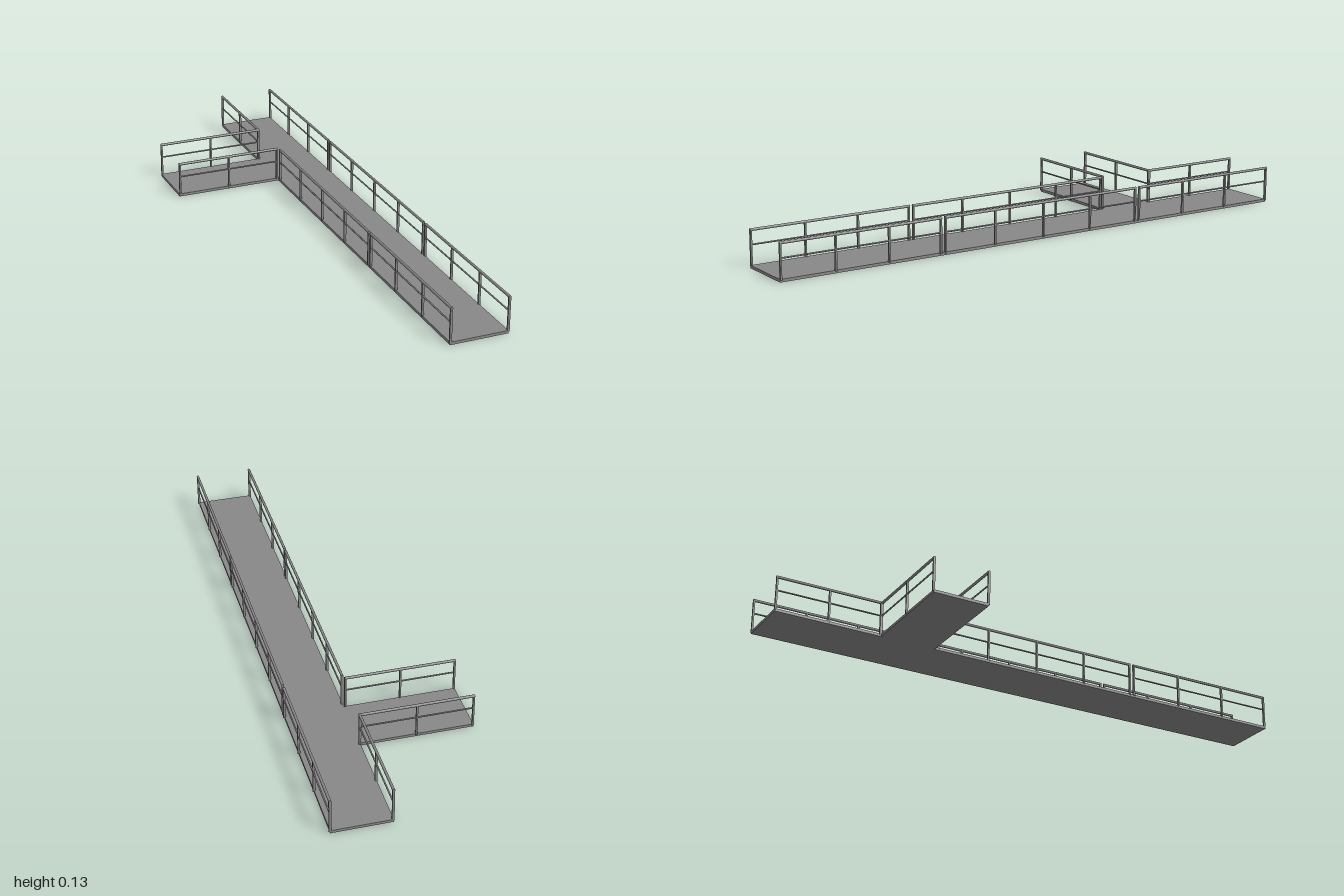
import * as THREE from 'three';

const material = new THREE.MeshStandardMaterial({ color: 0x888888 });
const RAIL_Y = 0.127, MID_Y = 0.078, DECK_H = 0.01;
const RIGHT = 0.0915, LEFT = 0.2945, BACK = -0.611, FRONT = -0.408;

function addMesh(parent, name, geometry, x, y, z) {
  const mesh = new THREE.Mesh(geometry, material);
  mesh.name = name;
  mesh.position.set(x, y, z);
  parent.add(mesh);
}

// One straight railing, built along local x and turned into place
function railing(name, [x0, z0], [x1, z1], bays) {
  const group = new THREE.Group();
  group.name = name;
  const length = Math.hypot(x1 - x0, z1 - z0);
  const bar = (part, radius, y) => {
    const geometry = new THREE.CylinderGeometry(radius, radius, length, 12).rotateZ(Math.PI / 2);
    addMesh(group, part, geometry, 0, y, 0);
  };
  bar('handrail', 0.0048, RAIL_Y);
  bar('middleRail', 0.0028, MID_Y);

  const postHeight = RAIL_Y - 0.006;
  const span = length - 0.006;
  for (let i = 0; i <= bays; i++) {
    addMesh(group, 'post', new THREE.BoxGeometry(0.006, postHeight, 0.008),
      -span / 2 + (span * i) / bays, 0.006 + postHeight / 2, 0);
  }
  group.position.set((x0 + x1) / 2, 0, (z0 + z1) / 2);
  group.rotation.y = -Math.atan2(z1 - z0, x1 - x0);
  return group;
}

export function createModel() {
  const model = new THREE.Group();
  model.name = 'walkway';

  // T-shaped deck: long walkway with a side branch
  const outline = new THREE.Shape([
    [RIGHT - 0.002, -1], [LEFT, -1], [LEFT, 1], [RIGHT - 0.002, 1],
    [RIGHT - 0.002, -BACK], [-0.3, -BACK], [-0.3, -FRONT], [RIGHT - 0.002, -FRONT],
  ].map(([x, y]) => new THREE.Vector2(x, y)));
  const deck = new THREE.ExtrudeGeometry(outline, { depth: DECK_H, bevelEnabled: false });
  addMesh(model, 'deck', deck.rotateX(-Math.PI / 2), 0, 0, 0);

  // Railings on both long edges, with small gaps between sections
  for (const [side, x] of [['right', RIGHT], ['left', LEFT]]) {
    model.add(railing(side + 'FrontRailing', [x, 1], [x, 0.407], 3));
    model.add(railing(side + 'MiddleRailing', [x, 0.395], [x, -0.395], 4));
  }
  model.add(railing('leftBackRailing', [LEFT, -0.407], [LEFT, -1], 3));
  model.add(railing('rightBackRailing', [RIGHT, BACK], [RIGHT, -1], 2));

  // Railings along the branch; the front one stops short of the long edge
  model.add(railing('branchFrontRailing', [-0.3, FRONT], [0.087, FRONT], 2));
  model.add(railing('branchBackRailing', [-0.3, BACK], [0.0945, BACK], 2));
  return model;
}
